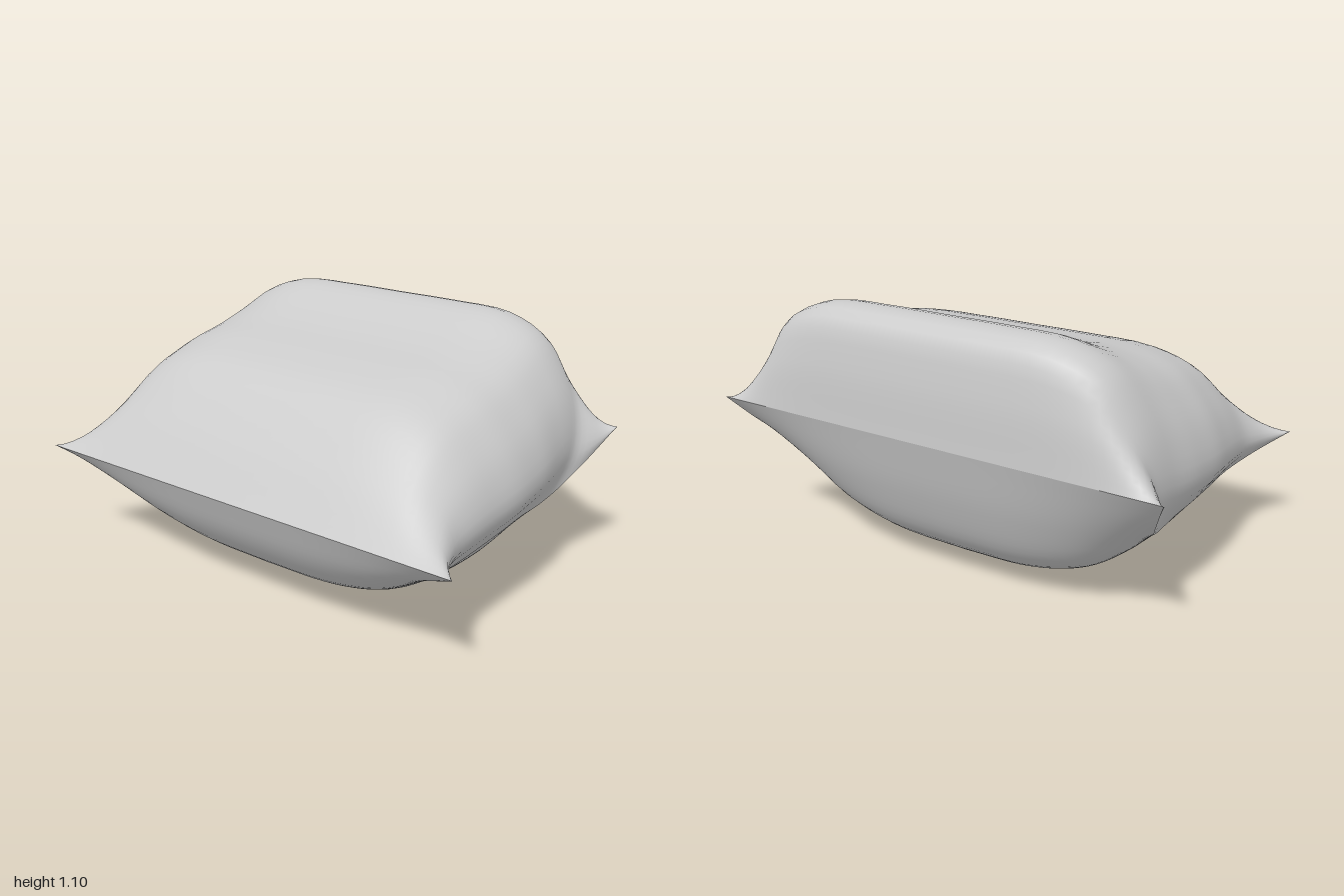
import * as THREE from 'three';

const spline = (pts) => new THREE.CatmullRomCurve3(pts.map(([x, y, z = 0]) => new THREE.Vector3(x, y, z)));

// Side seam from front to back: x, y, z
const seam = spline([
  [1, 0.49, 0.643], [0.89, 0.41, 0.54], [0.825, 0.36, 0.4], [0.825, 0.357, 0.2], [0.84, 0.375, 0],
  [0.84, 0.38, -0.15], [0.84, 0.375, -0.3], [0.865, 0.41, -0.4], [0.925, 0.51, -0.52], [1, 0.648, -0.643],
]);

// Half width of the bulging upper side, matching the seam points
const bulge = spline([1, 0.925, 0.892, 0.905, 0.925, 0.922, 0.905, 0.9, 0.95, 1].map((w) => [w, 0]));

// Centre line profiles from front to back: 0, y, z
const topLine = spline([
  [0, 0.49, 0.643], [0, 0.705, 0.48], [0, 0.875, 0.3], [0, 0.943, 0.1], [0, 0.983, -0.1],
  [0, 1.023, -0.24], [0, 1.1, -0.46], [0, 1.07, -0.582], [0, 0.9, -0.628], [0, 0.648, -0.643],
]);
const bottomLine = spline([
  [0, 0.49, 0.643], [0, 0.3, 0.55], [0, 0.165, 0.435], [0, 0.065, 0.26], [0, 0.014, 0.08], [0, 0, -0.07],
  [0, 0.025, -0.2], [0, 0.075, -0.33], [0, 0.18, -0.455], [0, 0.38, -0.555], [0, 0.648, -0.643],
]);

// Cross-sections from centre to seam: x, fraction of the way from seam to centre line
const topSection = (s, b) => spline([
  [0, 1], [0.3 * b, 1], [0.58 * b, 0.985], [0.77 * b, 0.89], [0.89 * b, 0.71], [0.97 * b, 0.5], [b, 0.25], [s, 0],
]);
const bottomSection = (s) => spline([
  [0, 1], [0.36 * s, 0.965], [0.62 * s, 0.79], [0.83 * s, 0.44], [s, 0],
]);

// One cloth panel: a grid bent between the seam and its centre line
function panel(name, line, section, isTop) {
  const cols = 48, rows = 40;
  const geo = new THREE.PlaneGeometry(2, 2, cols, rows);
  const pos = geo.attributes.position;
  for (let r = 0; r <= rows; r++) {
    const v = isTop ? 1 - r / rows : r / rows;
    const edge = seam.getPoint(v);
    const mid = line.getPointAt(v);
    const cut = section(edge.x, bulge.getPoint(v).x);
    for (let c = 0; c <= cols; c++) {
      const u = (2 * c) / cols - 1;
      const q = cut.getPoint(Math.abs(u));
      const p = edge.clone().lerp(mid, q.y);
      pos.setXYZ(r * (cols + 1) + c, Math.sign(u) * q.x, p.y, p.z);
    }
  }
  geo.computeVertexNormals();
  const mesh = new THREE.Mesh(geo, new THREE.MeshStandardMaterial({ color: 0xcccccc, side: THREE.DoubleSide }));
  mesh.name = name;
  return mesh;
}

export function createModel() {
  const cushion = new THREE.Group();
  cushion.name = 'cushion';
  cushion.add(
    panel('upperPanel', topLine, topSection, true),
    panel('lowerPanel', bottomLine, bottomSection, false),
  );
  return cushion;
}
